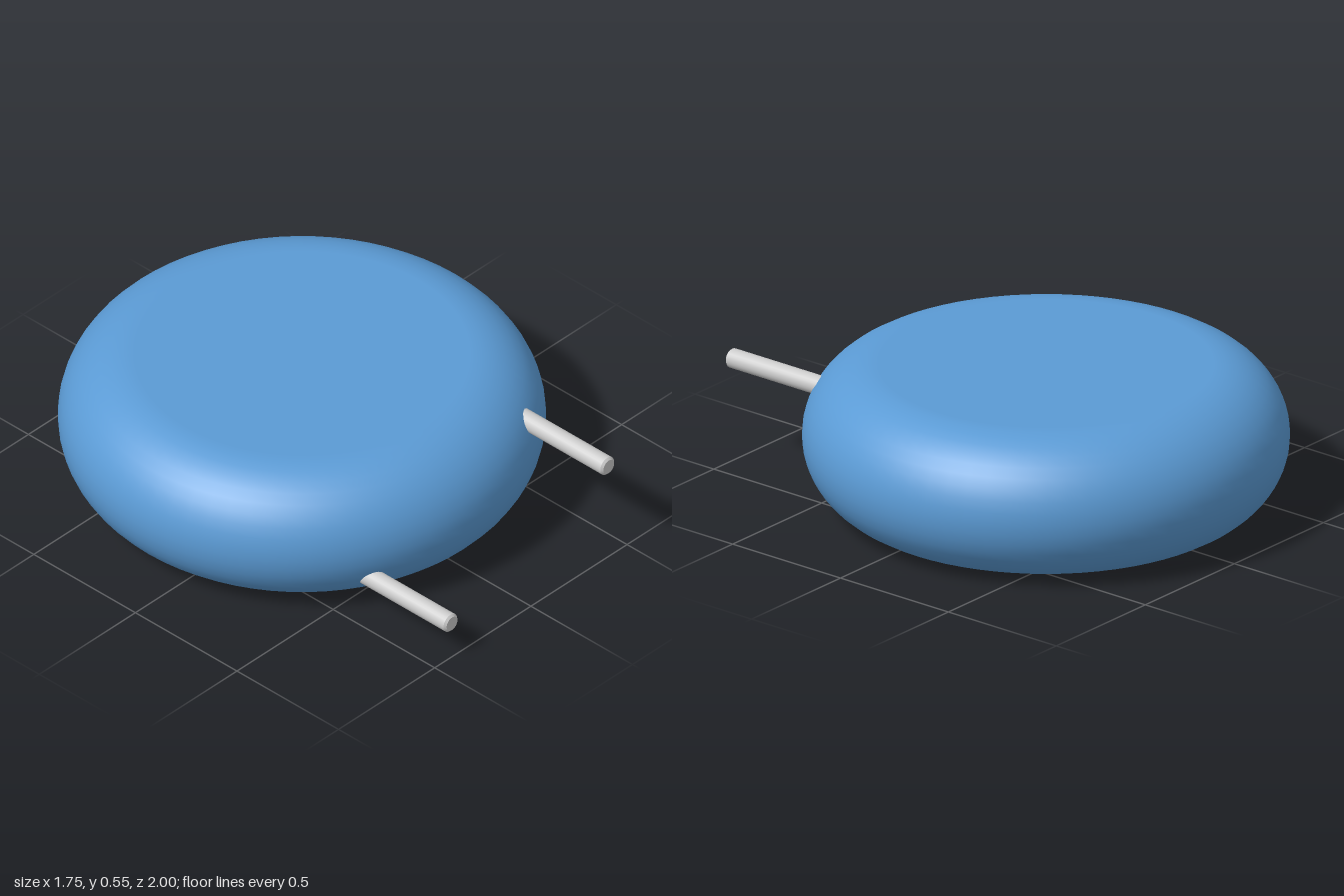
import * as THREE from 'three';

const HEIGHT = 0.545, RADIUS = 0.873, BODY_Z = -0.127;

// Round solid turned from a list of [radius, height] pairs
function turned(name, pairs, segments, color) {
  const points = pairs.map(([r, y]) => new THREE.Vector2(r, y));
  const mesh = new THREE.Mesh(
    new THREE.LatheGeometry(points, segments),
    new THREE.MeshStandardMaterial({ color })
  );
  mesh.name = name;
  return mesh;
}

export function createModel() {
  const group = new THREE.Group();
  group.name = 'discWithPins';

  // Flat disc with a fully rounded rim
  const rim = HEIGHT / 2, flat = RADIUS - rim, steps = 20;
  const profile = [[0, 0]];
  for (let i = 0; i <= steps; i++) {
    const a = -Math.PI / 2 + (Math.PI * i) / steps;
    profile.push([flat + rim * Math.cos(a), rim + rim * Math.sin(a)]);
  }
  profile.push([0, HEIGHT]);
  const body = turned('body', profile, 72, 0x5b9bd5);
  body.position.z = BODY_Z;
  group.add(body);

  // Two forward pins with slightly bevelled tips, rooted inside the disc
  const r = 0.036, bevel = 0.008, start = 0.45, length = 1 - start;
  const pinProfile = [
    [0, 0], [r, 0], [r, 0], [r, length - bevel], [r, length - bevel],
    [r - bevel, length], [r - bevel, length], [0, length]
  ];
  for (const [name, x, y] of [['leftPin', 0.405, 0.402], ['rightPin', -0.41, 0.148]]) {
    const pin = turned(name, pinProfile, 24, 0xcccccc);
    pin.rotation.x = Math.PI / 2;
    pin.position.set(x, y, start);
    group.add(pin);
  }
  return group;
}
